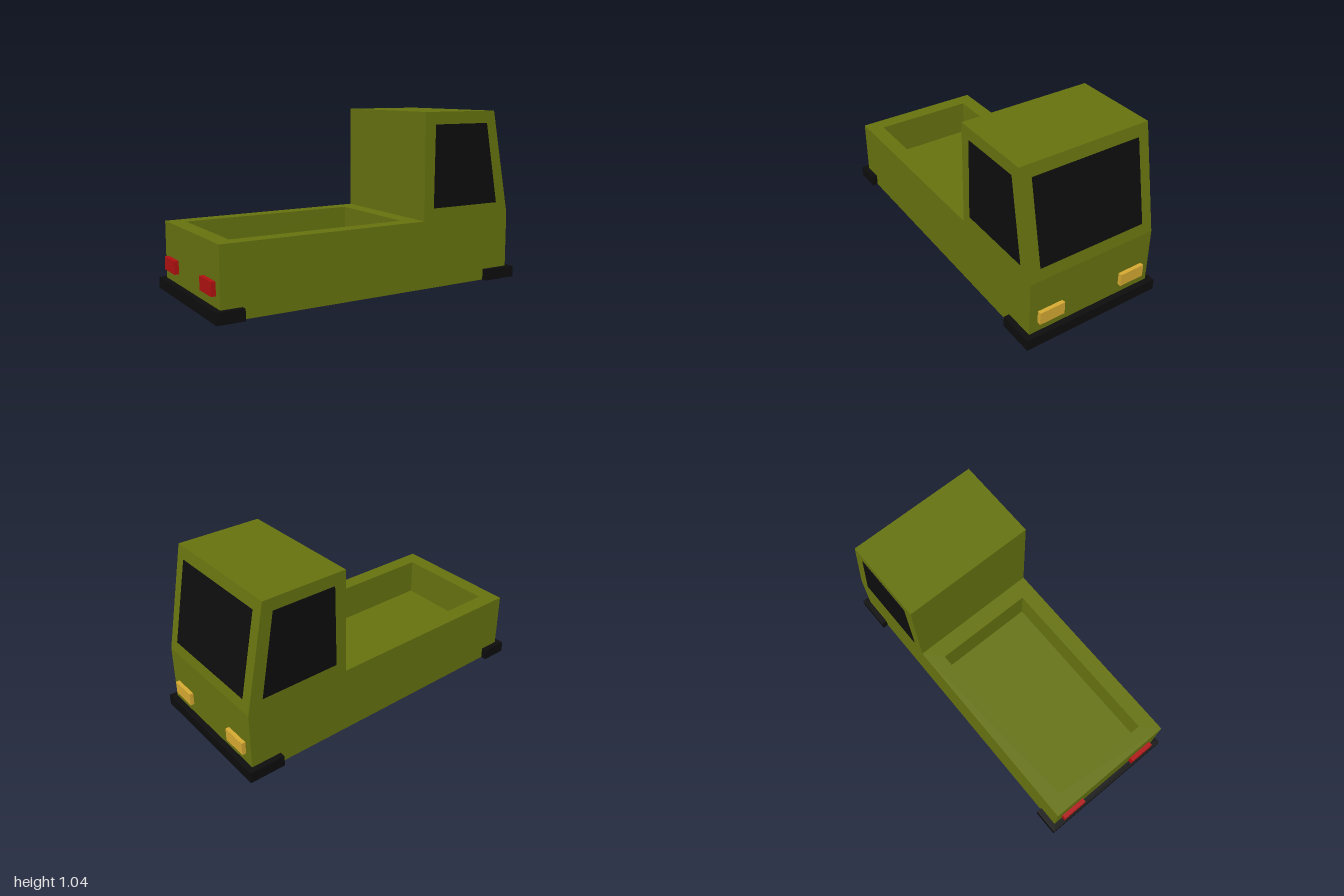
import * as THREE from 'three';
import { mergeGeometries } from 'three/addons/utils/BufferGeometryUtils.js';

const material = (name, color) => new THREE.MeshStandardMaterial({ name, color });
const shapeOf = pts => new THREE.Shape(pts.map(p => new THREE.Vector2(...p)));

// Flat four-cornered face, corners counter-clockwise from outside
function quad(a, b, c, d) {
  const g = new THREE.BufferGeometry();
  g.setAttribute('position', new THREE.Float32BufferAttribute([a, b, c, a, c, d].flat(), 3));
  g.computeVertexNormals();
  return g;
}

// Face swept across the width between two side-profile points
const across = ([ax, ay], [bx, by], h) =>
  quad([ax, ay, h], [ax, ay, -h], [bx, by, -h], [bx, by, h]);

function flat(shape) {
  const g = new THREE.ShapeGeometry(shape).toNonIndexed();
  g.deleteAttribute('uv');
  return g;
}

const END = 0.965, HALF = 0.408, DECK = 0.408, ROOF = 1.045;

function bodyGeometry() {
  const profile = [[-END, 0], [END, 0], [END, DECK], [0.84, ROOF], [0.322, ROOF], [0.322, DECK], [-END, DECK]];
  const parts = [];
  // outer skin, leaving out the deck (edge 5)
  profile.forEach((p, i) => {
    if (i !== 5) parts.push(across(p, profile[(i + 1) % profile.length], HALF));
  });
  const side = shapeOf(profile);
  parts.push(flat(side).translate(0, 0, HALF));
  // far side: same outline, turned to face -z
  const mirrored = shapeOf(profile.map(([x, y]) => [-x, y]));
  parts.push(flat(mirrored).rotateY(Math.PI).translate(0, 0, -HALF));

  // deck rim around the cargo well
  const x0 = -0.87, x1 = 0.218, h = 0.313, floor = 0.18;
  const deck = shapeOf([[-END, -HALF], [0.322, -HALF], [0.322, HALF], [-END, HALF]]);
  deck.holes.push(shapeOf([[x0, -h], [x0, h], [x1, h], [x1, -h]]));
  parts.push(flat(deck).rotateX(-Math.PI / 2).translate(0, DECK, 0));

  // well floor and walls
  const well = [[x1, DECK], [x1, floor], [x0, floor], [x0, DECK]];
  for (let i = 0; i < 3; i++) parts.push(across(well[i], well[i + 1], h));
  parts.push(quad([x0, floor, -h], [x1, floor, -h], [x1, DECK, -h], [x0, DECK, -h]));
  parts.push(quad([x1, floor, h], [x0, floor, h], [x0, DECK, h], [x1, DECK, h]));
  return mergeGeometries(parts);
}

// U-shaped bumper wrapping one end; inner is where its arms stop
function bumperGeometry(s, inner) {
  const w = 0.443;
  const u = [[inner, -w], [1, -w], [1, w], [inner, w], [inner, HALF], [END, HALF], [END, -HALF], [inner, -HALF]];
  return new THREE.ExtrudeGeometry(shapeOf(u.map(([x, y]) => [s * x, y])), { depth: 0.067, bevelEnabled: false })
    .rotateX(-Math.PI / 2);
}

export function createModel() {
  const model = new THREE.Group();
  model.name = 'pickupTruck';
  const olive = material('olivePaint', 0x66720f);
  const black = material('black', 0x0d0d0d);
  const amber = material('amberLight', 0xd6a932);
  const red = material('redLight', 0xb01010);
  const add = (name, geometry, mat) => {
    const mesh = new THREE.Mesh(geometry, mat);
    mesh.name = name;
    model.add(mesh);
    return mesh;
  };

  add('body', bodyGeometry(), olive);
  add('frontBumper', bumperGeometry(1, 0.78), black);
  add('rearBumper', bumperGeometry(-1, 0.84), black);

  // windscreen lies on the sloping cab front
  const slope = Math.atan2(END - 0.84, ROOF - DECK);
  const windscreen = add('windscreen', new THREE.BoxGeometry(0.008, 0.506, 0.68), black);
  windscreen.position.set(0.9025, 0.7265, 0);
  windscreen.rotation.z = slope;

  // side windows and lamps, mirrored across z
  const pane = shapeOf([[0.39, 0.48], [0.872, 0.48], [0.782, 0.972], [0.396, 0.972]]);
  for (const s of [1, -1]) {
    const label = s > 0 ? 'Near' : 'Far';
    add('sideWindow' + label, new THREE.ExtrudeGeometry(pane, { depth: 0.008, bevelEnabled: false }), black)
      .position.z = s * HALF - 0.004;
    add('headlight' + label, new THREE.BoxGeometry(0.03, 0.078, 0.161), amber)
      .position.set(0.973, 0.168, s * 0.275);
    add('tailLight' + label, new THREE.BoxGeometry(0.035, 0.078, 0.161), red)
      .position.set(-0.974, 0.168, s * 0.275);
  }
  return model;
}
